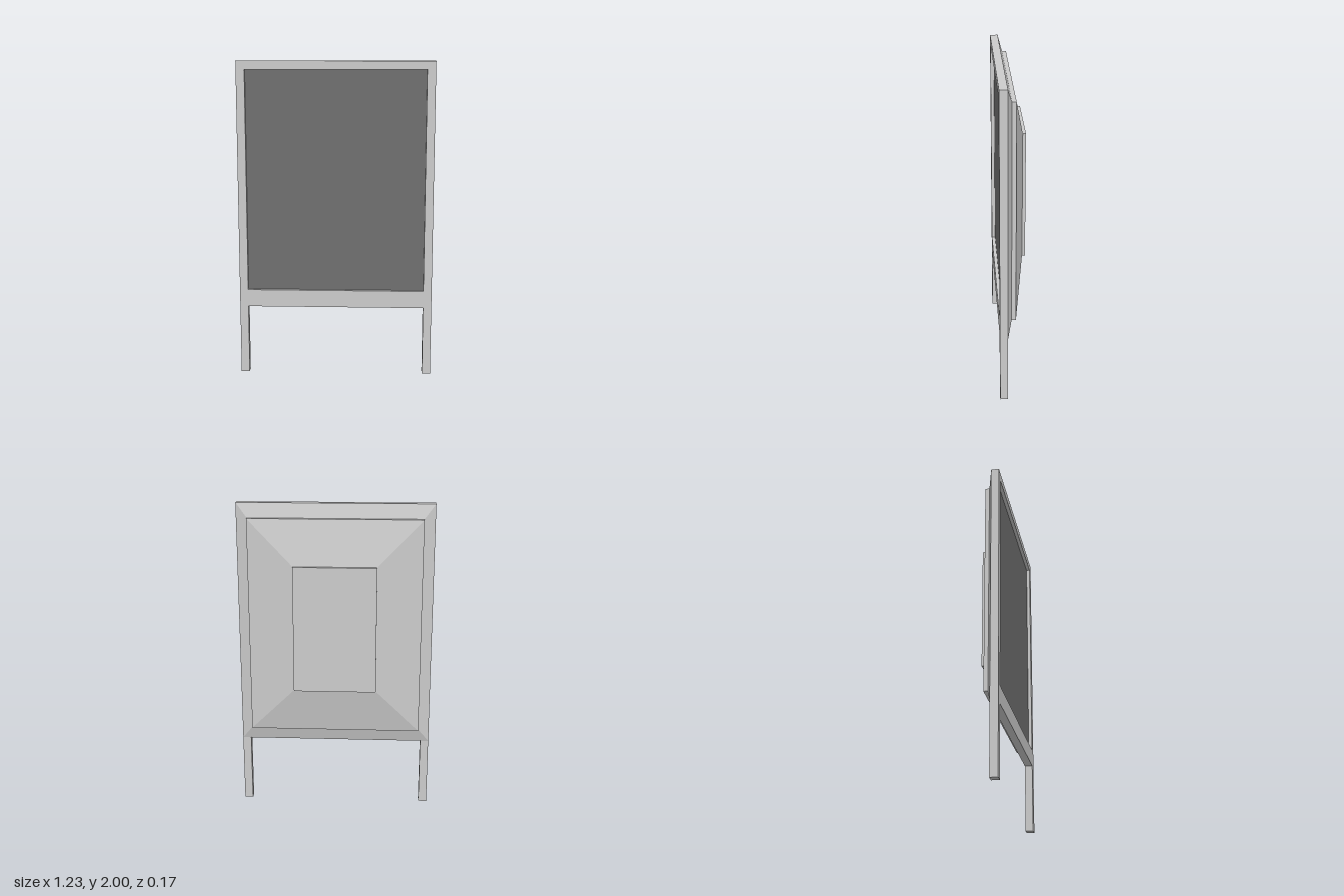
import * as THREE from 'three';

const grey = new THREE.MeshStandardMaterial({ color: 0xcccccc, flatShading: true });
const dark = new THREE.MeshStandardMaterial({ color: 0x707070, flatShading: true });

const FRONT = 0.087, FRAME_BACK = 0.038, SCREEN_Z = 0.065;
const HALF_W = 0.615, OPEN_W = 0.562, BOTTOM = 0.44, TOP = 2;

// Rectangular cross-sections [halfWidth, yLow, yHigh, z], lofted front to back and capped at the rear
function loftRects(sections) {
  const positions = [];
  const corners = ([w, lo, hi, z]) => [[-w, lo, z], [w, lo, z], [w, hi, z], [-w, hi, z]];
  const quad = (a, b, c, d) => positions.push(...a, ...b, ...c, ...a, ...c, ...d);
  for (let s = 0; s < sections.length - 1; s++) {
    const f = corners(sections[s]), r = corners(sections[s + 1]);
    for (let i = 0; i < 4; i++) {
      const j = (i + 1) % 4;
      quad(f[j], f[i], r[i], r[j]);
    }
  }
  const last = corners(sections[sections.length - 1]);
  quad(last[3], last[2], last[1], last[0]);
  const geometry = new THREE.BufferGeometry();
  geometry.setAttribute('position', new THREE.Float32BufferAttribute(positions, 3));
  geometry.computeVertexNormals();
  return geometry;
}

function points(list) {
  return list.map(([x, y]) => new THREE.Vector2(x, y));
}

export function createModel() {
  const model = new THREE.Group();
  model.name = 'displayStand';
  const add = (name, geometry, material) => {
    const mesh = new THREE.Mesh(geometry, material);
    mesh.name = name;
    model.add(mesh);
    return mesh;
  };

  // Frame and both legs in one outline, with the screen opening cut out
  const outline = new THREE.Shape(points([
    [-HALF_W, 0], [-OPEN_W, 0], [-OPEN_W, BOTTOM], [OPEN_W, BOTTOM],
    [OPEN_W, 0], [HALF_W, 0], [HALF_W, TOP], [-HALF_W, TOP],
  ]));
  outline.holes.push(new THREE.Path(points([
    [-OPEN_W, 0.55], [-OPEN_W, 1.947], [OPEN_W, 1.947], [OPEN_W, 0.55],
  ])));
  const frame = new THREE.ExtrudeGeometry(outline, { depth: FRONT - FRAME_BACK, bevelEnabled: false });
  frame.translate(0, 0, FRAME_BACK);
  add('frameWithLegs', frame, grey);

  // Recessed screen
  const screen = add('screen', new THREE.PlaneGeometry(OPEN_W * 2, 1.397), dark);
  screen.position.set(0, 1.2485, SCREEN_Z);

  // Stepped, tapering rear housing
  add('rearHousing', loftRects([
    [HALF_W, BOTTOM, TOP, FRAME_BACK],
    [0.545, 0.53, 1.91, 0.013],
    [0.545, 0.53, 1.91, -0.013],
    [0.26, 0.82, 1.625, -0.068],
    [0.26, 0.82, 1.625, -0.087],
  ]), grey);

  return model;
}
